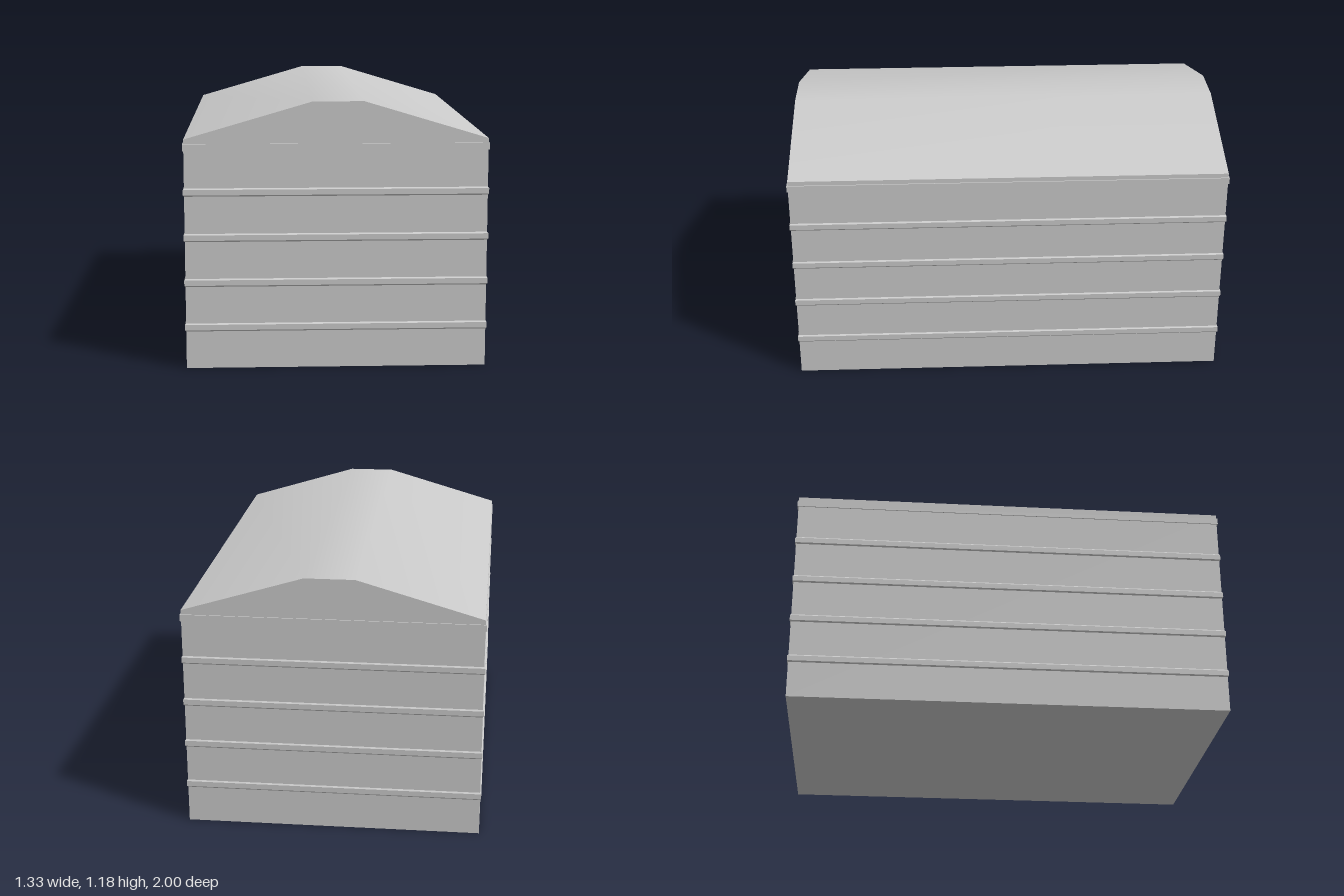
import * as THREE from 'three';
import { toCreasedNormals } from 'three/addons/utils/BufferGeometryUtils.js';

const W = 0.66, L = 0.995;      // half width and half length of the walls
const LIP = 0.005;              // how far the bands stand out

export function createModel() {
  const group = new THREE.Group();
  const material = new THREE.MeshStandardMaterial({ color: 0xcccccc });
  const add = (name, geometry) => {
    const mesh = new THREE.Mesh(geometry, material);
    mesh.name = name;
    group.add(mesh);
    return mesh;
  };

  // Walls and flat-topped gable roof in one section, softly shaded across the roof
  const section = new THREE.Shape([
    [-W, 0], [W, 0], [W, 1.015], [0.12, 1.177], [-0.102, 1.177], [-W, 1.015],
  ].map(([x, y]) => new THREE.Vector2(x, y)));
  const body = new THREE.ExtrudeGeometry(section, { depth: 2 * L, bevelEnabled: false });
  body.translate(0, 0, -L);
  add('buildingBody', toCreasedNormals(body, Math.PI / 6));

  // Chamfered bands around the walls
  const plan = new THREE.Shape([
    [-W, -L], [W, -L], [W, L], [-W, L],
  ].map(([x, z]) => new THREE.Vector2(x, z)));
  for (let i = 0; i < 4; i++) {
    const band = new THREE.ExtrudeGeometry(plan, {
      depth: 0.024, bevelThickness: 0.006, bevelSize: LIP, bevelSegments: 1,
    });
    band.rotateX(-Math.PI / 2);
    add('wallBand' + (i + 1), band).position.y = 0.172 + 0.2 * i;
  }

  // Square-edged band under the eaves
  add('eavesBand', new THREE.BoxGeometry(2 * (W + LIP), 0.03, 2 * (L + LIP))).position.y = 0.98;

  return group;
}
